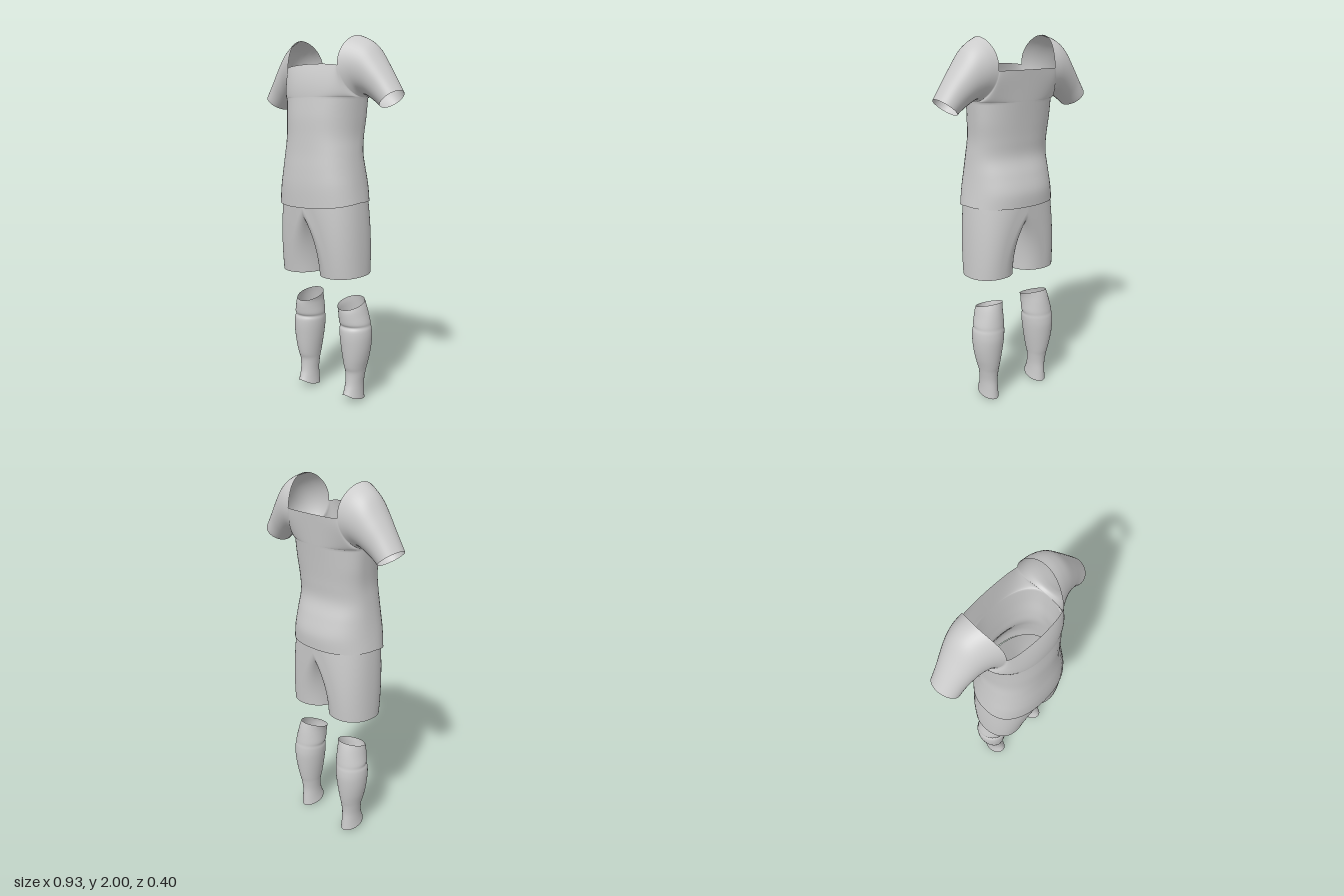
import * as THREE from 'three';
import { mergeGeometries, mergeVertices } from 'three/addons/utils/BufferGeometryUtils.js';

const { PI, sin, cos, abs, sign, min, floor } = Math;
const lerp = THREE.MathUtils.lerp;
const material = new THREE.MeshStandardMaterial({ color: 0xcccccc, side: THREE.DoubleSide });

// Surface grid from f(u, v) -> [x, y, z]; closed wraps u, flip reverses the faces
function grid(f, nu, nv, closed, flip) {
  const w = closed ? nu : nu + 1, pos = [], idx = [];
  for (let j = 0; j <= nv; j++) for (let i = 0; i < w; i++) pos.push(...f(i / nu, j / nv));
  for (let j = 0; j < nv; j++) for (let i = 0; i < nu; i++) {
    const a = j * w + i, b = j * w + (i + 1) % w, c = a + w, d = b + w;
    idx.push(...(flip ? [a, d, b, a, c, d] : [a, b, d, a, d, c]));
  }
  const g = new THREE.BufferGeometry();
  g.setAttribute('position', new THREE.Float32BufferAttribute(pos, 3));
  g.setIndex(idx);
  g.computeVertexNormals();
  return g;
}

// Smooth (Catmull-Rom) interpolation down a table of section rows
function section(rows, t) {
  const n = rows.length - 1, k = min(floor(t * n), n - 1), f = t * n - k;
  const at = i => rows[Math.max(0, min(n, i))];
  return rows[0].map((_, c) => {
    const [p, q, r, s] = [-1, 0, 1, 2].map(o => at(k + o)[c]);
    return q + 0.5 * f * (r - p + f * (2 * p - 5 * q + 4 * r - s + f * (3 * (q - r) + s - p)));
  });
}

const power = (v, n) => sign(v) * abs(v) ** (2 / n);

function mesh(name, geometry) {
  const m = new THREE.Mesh(geometry, material);
  m.name = name;
  return m;
}

// Shirt body, hem to armpit: y, half width, side z, front z, back z
const bodyRows = [
  [1.13, 0.262, 0.02, 0.2, -0.196],
  [1.21, 0.25, 0.02, 0.203, -0.198],
  [1.3, 0.238, 0.01, 0.199, -0.175],
  [1.39, 0.228, 0, 0.192, -0.147],
  [1.48, 0.222, -0.02, 0.188, -0.15],
  [1.58, 0.228, -0.035, 0.185, -0.16],
  [1.68, 0.235, -0.033, 0.175, -0.172],
];
// Sleeve, armhole to cuff: top x, top y, bottom x, bottom y, z, z radius, bend
const sleeveRows = [
  [0.205, 2.0, 0.235, 1.68, -0.033, 0.143, 0.042],
  [0.255, 1.978, 0.25, 1.692, -0.044, 0.128, 0.024],
  [0.305, 1.94, 0.275, 1.683, -0.049, 0.112, 0.008],
  [0.36, 1.865, 0.304, 1.665, -0.049, 0.097, 0],
  [0.412, 1.79, 0.332, 1.646, -0.048, 0.085, 0],
  [0.465, 1.71, 0.36, 1.625, -0.047, 0.078, 0],
];

function sleevePoint(a, t) {
  const [tx, ty, bx, by, z, r, bend] = section(sleeveRows, t);
  const h = (1 + sin(a)) / 2;
  return [lerp(bx, tx, h) - bend * cos(a) ** 2, lerp(by, ty, h), z + r * cos(a)];
}

function shirtGeometry() {
  const parts = [];
  // Closed lower body
  parts.push(grid((u, v) => {
    const a = -PI / 2 + u * 2 * PI, [y, rx, zs, zf, zb] = section(bodyRows, v);
    const c = cos(a), z = zs + ((c > 0 ? zf : zb) - zs) * power(abs(c), 2.3);
    const hem = -0.03 * Math.max(0, c) * Math.max(0, 1 - v * 5);
    return [rx * power(sin(a), 2.3), y + hem, z];
  }, 48, 36, true));
  // Chest and back panels between the armholes
  for (const f of [1, -1]) parts.push(grid((u, v) => {
    const edge = sleevePoint(-PI / 2 + f * v * PI / 2, 0), a = -PI / 2 + u * PI;
    const w = (edge[1] - 1.68) / 0.16, n = 2.3 - 0.5 * v;
    const zm = f > 0 ? 0.175 - 0.034 * w * w : -0.172 - 0.018 * w;
    const k = power(abs(cos(a)), n);
    return [f * edge[0] * power(sin(a), n), edge[1] + (f > 0 ? 0.012 : 0) * k * w, lerp(edge[2], zm, k)];
  }, 24, 12, false));
  // Sleeves
  for (const s of [1, -1]) parts.push(grid((u, v) => {
    const p = sleevePoint(u * 2 * PI, v);
    return [s * p[0], p[1], p[2]];
  }, 48, 24, true, s > 0));
  parts.forEach(g => g.deleteAttribute('normal'));
  const g = mergeVertices(mergeGeometries(parts), 1e-4);
  g.computeVertexNormals();
  return g;
}

// Half of the shorts: waist arc and crotch curve blending into the leg hem
function shortsLeg(s) {
  return grid((u, v) => {
    const a = u * 2 * PI, c = cos(a), n = sin(a), outer = c > 0;
    const x0 = outer ? 0.25 * power(c, 2.3) : 0;
    const y0 = outer ? 1.15 : 1.15 - 0.16 * abs(c) ** 0.5;
    const z0 = 0.003 + 0.188 * (outer ? power(n, 2.3) : n);
    const x1 = 0.139 + 0.127 * power(c, 2.2);
    const z1 = -0.008 + 0.143 * power(n, 2.2);
    const y1 = 0.731 - 0.008 * n;
    return [s * lerp(x0, x1, 1 - (1 - v) ** 2.2), lerp(y0, y1, v), lerp(z0, z1, v)];
  }, 64, 28, true, s < 0);
}

// Sock, ankle to cuff: y, inner x, outer x, front z, back z, front-to-back slant
const sockRows = [
  [0.024, 0.12, 0.222, 0.028, -0.122, 0.014],
  [0.06, 0.125, 0.219, 0.016, -0.118, 0.006],
  [0.11, 0.126, 0.22, 0.006, -0.115, 0],
  [0.165, 0.121, 0.228, 0.004, -0.121, 0],
  [0.2, 0.115, 0.236, 0.014, -0.129, 0],
  [0.25, 0.106, 0.249, 0.023, -0.138, 0],
  [0.31, 0.096, 0.26, 0.03, -0.146, 0],
  [0.37, 0.088, 0.265, 0.035, -0.151, 0],
  [0.415, 0.085, 0.263, 0.034, -0.149, 0],
  [0.437, 0.087, 0.257, 0.025, -0.145, -0.002],
  [0.457, 0.084, 0.256, 0.034, -0.143, -0.006],
  [0.5, 0.086, 0.245, 0.039, -0.136, -0.014],
  [0.535, 0.086, 0.236, 0.041, -0.128, -0.02],
  [0.56, 0.082, 0.228, 0.04, -0.12, -0.026],
];

function sock(s) {
  return grid((u, v) => {
    const a = u * 2 * PI, [y, xi, xo, zf, zb, slant] = section(sockRows, v);
    const arch = 0.016 * Math.max(0, cos(a)) ** 3 * Math.max(0, 1 - v * 8);
    return [
      s * ((xi + xo) / 2 + (xo - xi) / 2 * sin(a)),
      y + slant * cos(a) + arch - (v < 0.08 ? 0.01 * (1 - v / 0.08) : 0),
      (zf + zb) / 2 + (zf - zb) / 2 * cos(a),
    ];
  }, 40, 52, true, s < 0);
}

export function createModel() {
  const model = new THREE.Group();
  model.name = 'sportsKit';
  model.add(mesh('shirt', shirtGeometry()));
  // Both shorts halves share the centre seam
  const halves = [1, -1].map(shortsLeg);
  halves.forEach(g => g.deleteAttribute('normal'));
  const shorts = mergeVertices(mergeGeometries(halves), 1e-4);
  shorts.computeVertexNormals();
  model.add(mesh('shorts', shorts));
  model.add(mesh('leftSock', sock(1)), mesh('rightSock', sock(-1)));
  return model;
}
